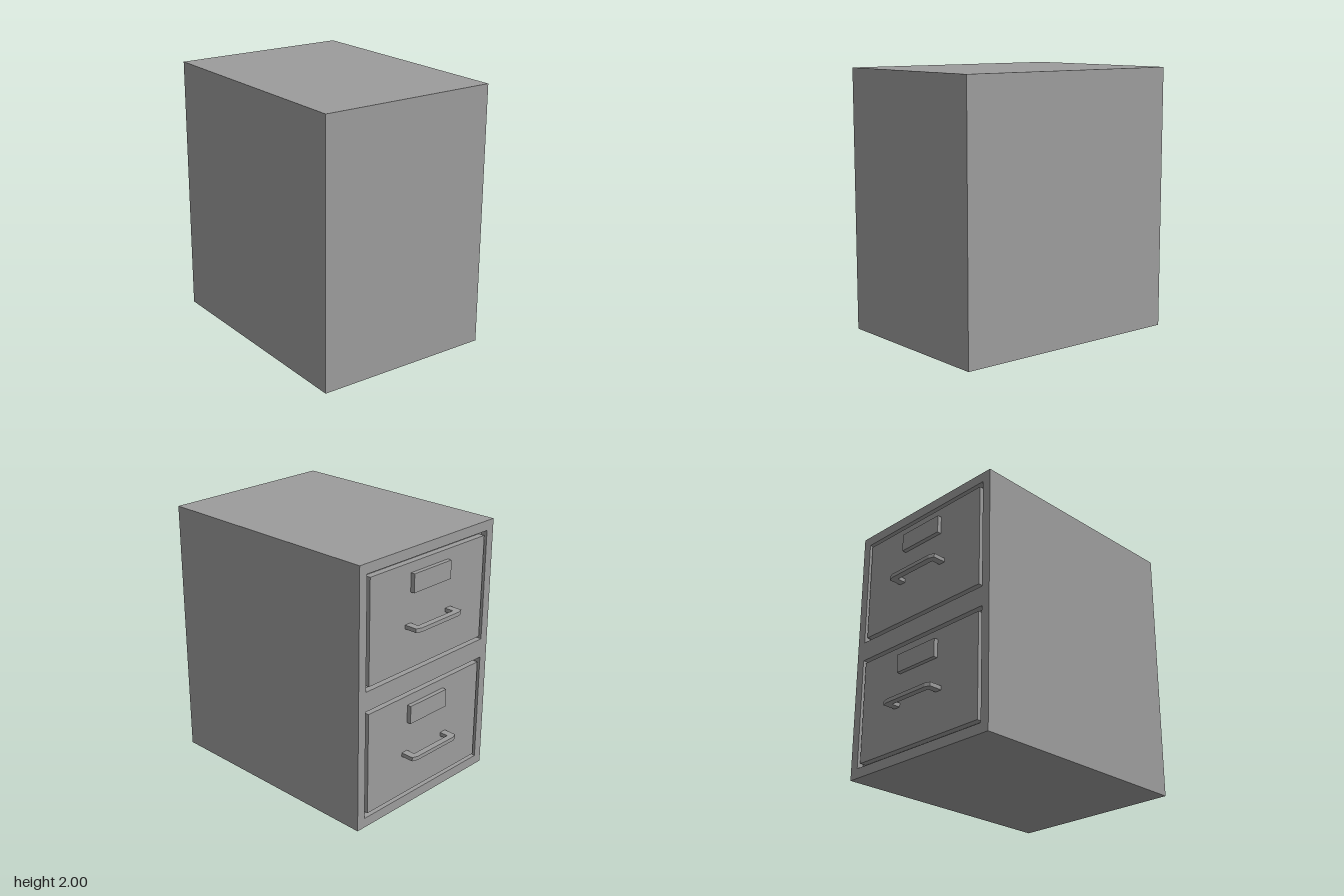
import * as THREE from 'three';

const FACE = -0.872, BACK = 0.987, HALF_Z = 0.7, GROOVE = 0.03, DEPTH = 0.05;
const OPENING_Z = 0.63, OPENING_Y0 = 0.075, OPENING_Y1 = 0.925;
const material = new THREE.MeshStandardMaterial({ color: 0x9c9c9c, flatShading: true });

function add(parent, name, geometry) {
  const mesh = new THREE.Mesh(geometry, material);
  mesh.name = name;
  parent.add(mesh);
}

// Box given by its limits on each axis
function block(x0, x1, y0, y1, z0, z1) {
  return new THREE.BoxGeometry(x1 - x0, y1 - y0, z1 - z0)
    .translate((x0 + x1) / 2, (y0 + y1) / 2, (z0 + z1) / 2);
}

function polygon(points) {
  return points.map(([a, b]) => new THREE.Vector2(a, b));
}

function rectangle(halfWidth, y0, y1) {
  return polygon([[-halfWidth, y0], [halfWidth, y0], [halfWidth, y1], [-halfWidth, y1]]);
}

export function createModel() {
  const cabinet = new THREE.Group();
  cabinet.name = 'filingCabinet';

  // Solid carcass behind the drawer fronts
  add(cabinet, 'carcass', block(FACE + DEPTH, BACK, 0, 2, -HALF_Z, HALF_Z));

  // Front frame with one opening per drawer, facing -x
  const frame = new THREE.Shape(rectangle(HALF_Z, 0, 2));
  for (const y of [0, 1]) {
    frame.holes.push(new THREE.Path(rectangle(OPENING_Z, y + OPENING_Y0, y + OPENING_Y1)));
  }
  add(cabinet, 'frontFrame', new THREE.ExtrudeGeometry(frame, { depth: DEPTH, bevelEnabled: false })
    .rotateY(-Math.PI / 2).translate(FACE + DEPTH, 0, 0));

  // Pull handle outline with chamfered corners, seen from above
  const handleShape = new THREE.Shape(polygon([
    [FACE, -0.243], [FACE, -0.187], [-0.941, -0.187], [-0.941, 0.187], [FACE, 0.187],
    [FACE, 0.243], [-0.972, 0.243], [-0.987, 0.2], [-0.987, -0.2], [-0.972, -0.243],
  ]));

  ['lower', 'upper'].forEach((level, i) => {
    const drawer = new THREE.Group();
    drawer.name = level + 'Drawer';
    drawer.position.y = i;
    // Flush panel set inside the groove
    const z = OPENING_Z - GROOVE;
    add(drawer, 'drawerPanel',
      block(FACE, FACE + DEPTH, OPENING_Y0 + GROOVE, OPENING_Y1 - GROOVE, -z, z));
    add(drawer, 'labelPlate', block(FACE - 0.033, FACE, 0.68, 0.82, -0.195, 0.195));
    add(drawer, 'handle', new THREE.ExtrudeGeometry(handleShape, { depth: 0.03, bevelEnabled: false })
      .rotateX(Math.PI / 2).translate(0, 0.452, 0));
    cabinet.add(drawer);
  });

  return cabinet;
}
